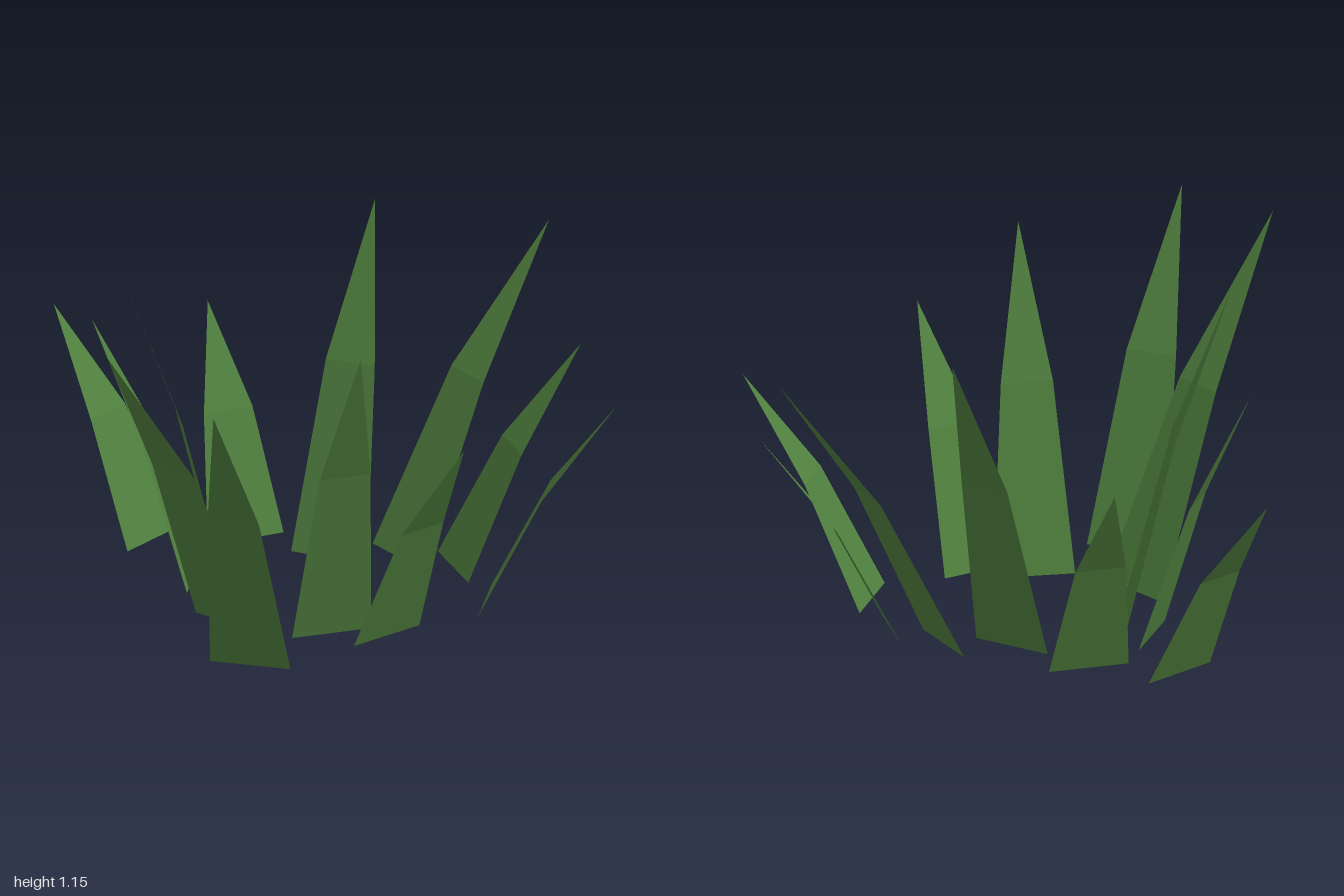
import * as THREE from 'three';

const BASE_WIDTH = 0.268;   // width of every blade at the ground
const BEND_WIDTH = 0.64;    // share of that width left at the bend
const BEND_REACH = 0.46;    // how far outward the bend lies
const BEND_HEIGHT = 0.555;  // how far up the bend lies

// Each blade: base centre x, z, then tip x, y, z
const BLADES = [
  [0.118, -0.383, 0.185, 1.03, -0.995],
  [0.300, -0.457, 0.466, 0.72, -0.870],
  [0.563, -0.348, 0.915, 0.73, -0.610],
  [0.545, 0.072, 0.952, 0.80, 0.112],
  [0.408, 0.187, 0.698, 1.11, 0.332],
  [0.410, 0.552, 0.677, 1.09, 0.970],
  [0.119, 0.375, 0.200, 1.155, 0.990],
  [-0.056, 0.212, -0.252, 1.155, 0.500],
  [-0.223, 0.200, -0.498, 0.885, 0.398],
  [-0.529, 0.090, -0.950, 0.71, 0.138],
  [-0.322, -0.122, -0.610, 0.72, -0.226],
  [-0.029, -0.217, -0.182, 1.115, -0.566],
];

// A flat leaf bent once: a tapered strip below, a pointed tip above
function bladeGeometry([bx, bz, tx, ty, tz]) {
  const base = new THREE.Vector3(bx, 0, bz);
  const tip = new THREE.Vector3(tx, ty, tz);
  const bend = base.clone().lerp(tip, BEND_REACH).setY(ty * BEND_HEIGHT);
  // level direction across the blade, at right angles to its lean
  const side = new THREE.Vector3(tz - bz, 0, bx - tx).normalize();
  const at = (p, offset) => p.clone().addScaledVector(side, offset);
  const half = BASE_WIDTH / 2;
  const points = [
    at(base, -half), at(base, half),
    at(bend, -half * BEND_WIDTH), at(bend, half * BEND_WIDTH),
    tip,
  ];
  const geometry = new THREE.BufferGeometry().setFromPoints(points);
  geometry.setIndex([0, 1, 3, 0, 3, 2, 2, 3, 4]);
  const flat = geometry.toNonIndexed();
  flat.computeVertexNormals();
  return flat;
}

export function createModel() {
  const group = new THREE.Group();
  group.name = 'grassTuft';

  const leafGreen = new THREE.MeshStandardMaterial({
    color: 0x4f7f3e, side: THREE.DoubleSide, flatShading: true,
  });
  leafGreen.name = 'leaf green';

  BLADES.forEach((blade, i) => {
    const mesh = new THREE.Mesh(bladeGeometry(blade), leafGreen);
    mesh.name = `grassBlade${i + 1}`;
    group.add(mesh);
  });
  return group;
}
